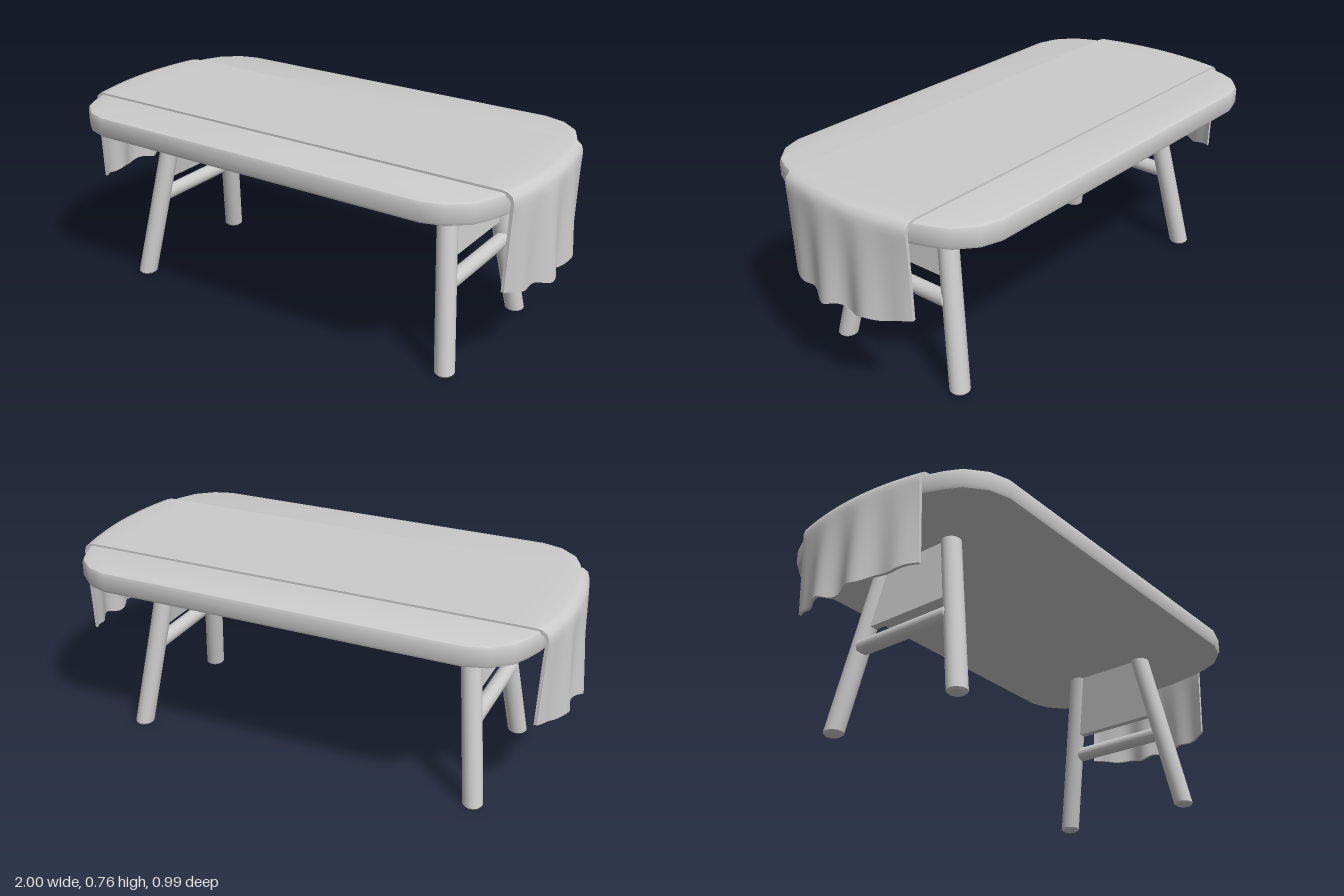
import * as THREE from 'three';
import { toCreasedNormals } from 'three/addons/utils/BufferGeometryUtils.js';

const material = new THREE.MeshStandardMaterial({ color: 0xcccccc });
const clothMaterial = new THREE.MeshStandardMaterial({ color: 0xcccccc, side: THREE.DoubleSide });

function addMesh(parent, name, geometry, mat = material) {
  const mesh = new THREE.Mesh(geometry, mat);
  mesh.name = name;
  parent.add(mesh);
  return mesh;
}

// Move every vertex by a rule
function warp(geometry, rule) {
  const pos = geometry.attributes.position;
  const v = new THREE.Vector3();
  for (let i = 0; i < pos.count; i++) {
    rule(v.fromBufferAttribute(pos, i));
    pos.setXYZ(i, v.x, v.y, v.z);
  }
  geometry.computeVertexNormals();
  return geometry;
}

// Round bar with chamfered ends, from y = 0 up
function roundBar(radius, length, bevel) {
  const profile = [
    [0, 0], [radius - bevel, 0], [radius, bevel],
    [radius, length - bevel], [radius - bevel, length], [0, length],
  ].map(([x, y]) => new THREE.Vector2(x, y));
  return new THREE.LatheGeometry(profile, 16);
}

// Tabletop: rounded outline with bowed ends and a soft bevelled rim
function tabletopGeometry() {
  const bevel = 0.015;
  const quarter = [[0.938, 0], [0.93, 0.14], [0.905, 0.28], [0.88, 0.35], [0.85, 0.41], [0.78, 0.47], [0.7, 0.495]];
  const back = quarter.slice().reverse();
  const outline = [
    ...quarter,
    ...back.map(([x, z]) => [-x, z]),
    ...quarter.slice(1).map(([x, z]) => [-x, -z]),
    ...back.slice(0, -1).map(([x, z]) => [x, -z]),
  ].map(([x, z]) => new THREE.Vector2(x, z));
  const geometry = new THREE.ExtrudeGeometry(new THREE.Shape(outline), {
    depth: 0.083 - 2 * bevel, bevelEnabled: true, bevelSize: bevel,
    bevelOffset: -bevel, bevelThickness: bevel, bevelSegments: 2,
  });
  geometry.rotateX(-Math.PI / 2).translate(0, 0.665 + bevel, -0.003);
  return toCreasedNormals(geometry, 0.6);
}

// Splay of the legs at height y
const legX = (y) => 0.71 - 0.13 * y;
const legZ = (y) => 0.29 - 0.19 * y;

function legGeometry() {
  const geometry = warp(roundBar(0.038, 0.69, 0.008), (v) => {
    v.x += legX(v.y);
    v.z += legZ(v.y);
  });
  return toCreasedNormals(geometry, 0.6);
}

// Board between a pair of legs, leaning with them
function panelGeometry() {
  const geometry = new THREE.BoxGeometry(0.03, 0.26, 2);
  geometry.translate(0, 0.54, 0);
  return warp(geometry, (v) => {
    v.x += legX(v.y);
    v.z *= legZ(v.y);
  });
}

// Runner: closed thin sheet lying over the top, hanging in folds at both ends
function runnerGeometry() {
  const columns = 48, thickness = 0.012, half = 0.2875;
  const fold = (z) => Math.cos((2 * Math.PI * (z - 0.06)) / 0.19);

  // Stations of one half, from the middle of the top to the hem
  const stations = [
    ...[0, 0.3, 0.6, 0.8].map((x) => ({ x, y: 0.756 })),
    ...[[0.05, 0.756], [0.025, 0.752], [0.008, 0.739], [0.001, 0.718]].map(([inset, y]) => ({ inset, y })),
    ...[0.06, 0.15, 0.3, 0.45, 0.6, 0.75, 0.88, 0.96, 1].map((t) => ({ t })),
  ];
  const path = [
    ...stations.slice(1).reverse().map((s) => [s, -1]),
    ...stations.map((s) => [s, 1]),
  ];

  function point([s, side], z, d) {
    const u = z / half;
    const end = 0.966 - 0.036 * u * u;
    if (s.x !== undefined) return [side * s.x, s.y - d, z];
    if (s.inset !== undefined) return [side * (end - s.inset - d * 0.9), s.y - d * (s.inset > 0.005 ? 0.8 : 0.2), z];
    const hem = 0.364 + 0.026 * u * u + 0.008 * fold(z * 1.4 + 0.05) * (1 - u * u);
    const flare = 0.018 * (1 + fold(z)) * (1 - u * u) - 0.014 * u ** 6;
    return [side * (end + flare * Math.pow(s.t, 0.8) - d), THREE.MathUtils.lerp(0.715, hem, s.t), z];
  }

  const positions = [], index = [];
  const ring = 2 * (columns + 1);
  for (const station of path) {
    for (let k = 0; k < ring; k++) {
      const inner = k > columns;
      const j = inner ? ring - 1 - k : k;
      const z = half * (1 - (2 * j) / columns);
      positions.push(...point(station, z, inner ? thickness : 0));
    }
  }
  const quad = (a, b, c, d) => index.push(a, b, c, a, c, d);
  for (let i = 0; i < path.length - 1; i++) {
    for (let k = 0; k < ring; k++) {
      const n = (k + 1) % ring;
      quad(i * ring + k, (i + 1) * ring + k, (i + 1) * ring + n, i * ring + n);
    }
  }
  // Close both hems
  const last = (path.length - 1) * ring;
  for (let j = 0; j < columns; j++) {
    const a = j, b = j + 1, c = ring - 2 - j, d = ring - 1 - j;
    quad(a, b, c, d);
    quad(last + d, last + c, last + b, last + a);
  }
  const geometry = new THREE.BufferGeometry();
  geometry.setAttribute('position', new THREE.Float32BufferAttribute(positions, 3));
  geometry.setIndex(index);
  geometry.translate(0, 0, -0.003);
  return toCreasedNormals(geometry, 0.9);
}

export function createModel() {
  const table = new THREE.Group();
  table.name = 'table';

  addMesh(table, 'tabletop', tabletopGeometry());
  addMesh(table, 'runner', runnerGeometry(), clothMaterial);

  // Trestle at each end: two splayed legs, a crossbar and a board
  for (const side of [1, -1]) {
    const trestle = new THREE.Group();
    trestle.name = side > 0 ? 'leftTrestle' : 'rightTrestle';
    const leg = legGeometry();
    addMesh(trestle, 'frontLeg', leg);
    const mirrored = addMesh(trestle, 'backLeg', leg);
    mirrored.scale.z = -1;
    const bar = toCreasedNormals(roundBar(0.03, 0.434, 0.008), 0.6);
    bar.rotateX(Math.PI / 2).translate(legX(0.33) + 0.01, 0.33, -0.217);
    addMesh(trestle, 'crossbar', bar);
    addMesh(trestle, 'panel', panelGeometry());
    trestle.position.z = -0.006;
    if (side < 0) trestle.scale.x = -1;
    table.add(trestle);
  }
  return table;
}
